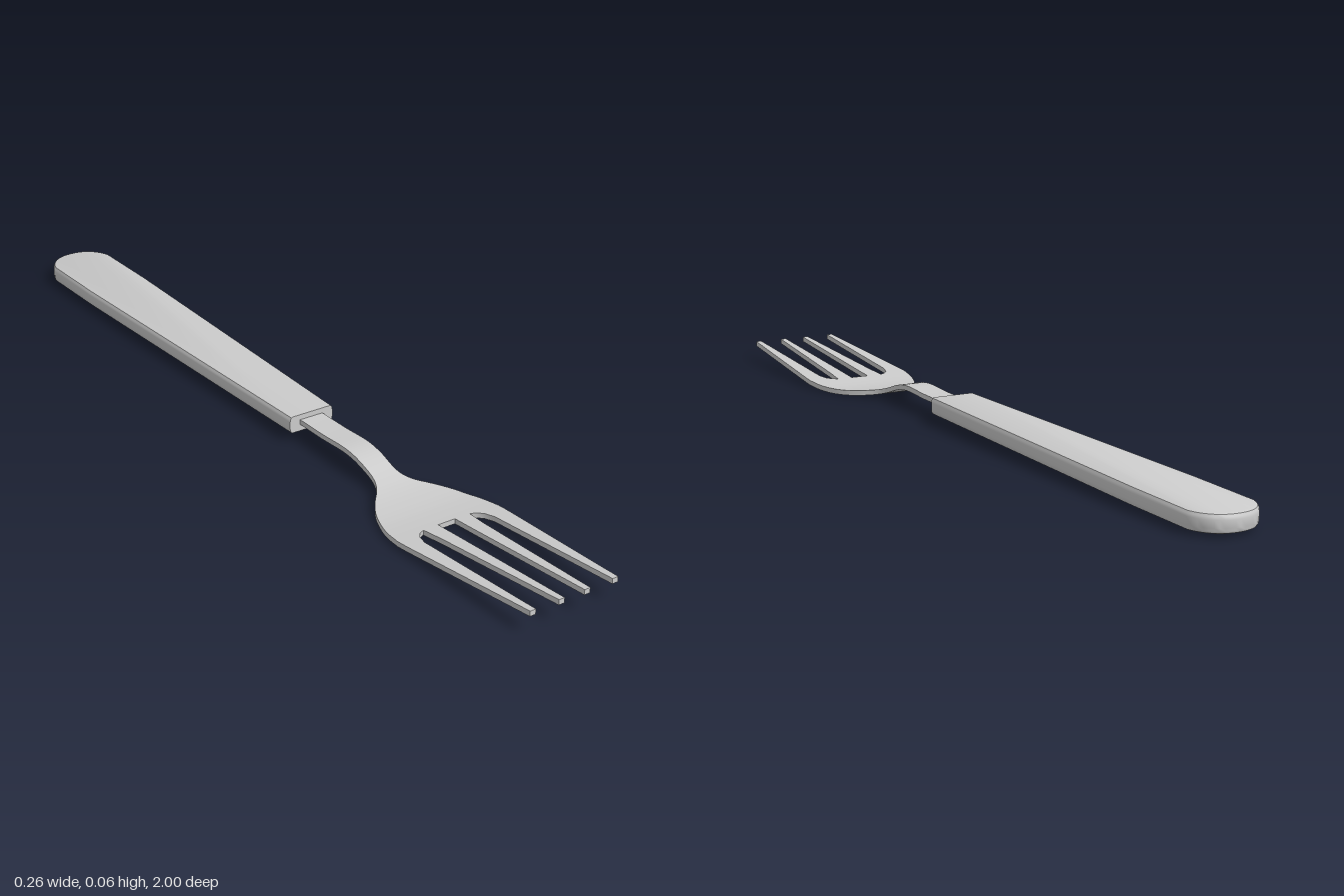
import * as THREE from 'three';
import { toCreasedNormals } from 'three/addons/utils/BufferGeometryUtils.js';

const steel = new THREE.MeshStandardMaterial({ color: 0xcccccc });
const THICK = 0.012;

// Lofts a flat bar through sections [z, xMin, xMax, yBottom] ordered by rising z
function bar(name, sections) {
  const pos = [], index = [];
  for (const [z, x0, x1, y] of sections) {
    pos.push(x0, y, z, x1, y, z, x1, y + THICK, z, x0, y + THICK, z);
  }
  const last = (sections.length - 1) * 4;
  for (let i = 0; i < last; i += 4) {
    for (let k = 0; k < 4; k++) {
      const a = i + k, b = i + (k + 1) % 4;
      index.push(a, b, b + 4, a, b + 4, a + 4);
    }
  }
  index.push(0, 2, 1, 0, 3, 2, last, last + 1, last + 2, last, last + 2, last + 3);
  const geometry = new THREE.BufferGeometry();
  geometry.setAttribute('position', new THREE.Float32BufferAttribute(pos, 3));
  geometry.setIndex(index);
  const mesh = new THREE.Mesh(toCreasedNormals(geometry, 0.6), steel);
  mesh.name = name;
  return mesh;
}

// Tapered grip with a rounded butt and bevelled sides, sloping down to the back
function makeHandle() {
  const bevel = 0.007, front = 0.115;
  const shape = new THREE.Shape();
  shape.moveTo(-0.05, front);
  shape.lineTo(-0.073, -0.75);
  shape.lineTo(-0.073, -0.935);
  shape.bezierCurveTo(-0.062, -0.975, -0.035, -0.993, 0, -0.993);
  shape.bezierCurveTo(0.035, -0.993, 0.062, -0.975, 0.073, -0.935);
  shape.lineTo(0.073, -0.75);
  shape.lineTo(0.05, front);
  shape.closePath();
  const geometry = new THREE.ExtrudeGeometry(shape, {
    depth: 0.016, bevelThickness: 0.012, bevelSize: bevel, bevelSegments: 3, curveSegments: 10,
  });
  geometry.translate(0, 0, -0.008);
  geometry.rotateX(Math.PI / 2);
  const p = geometry.attributes.position;
  for (let i = 0; i < p.count; i++) {
    // flat front face, then the slope
    const z = p.getZ(i) > 0.1 ? front : p.getZ(i);
    p.setZ(i, z);
    p.setY(i, p.getY(i) + 0.041 + (z - front) * 0.0125);
  }
  geometry.deleteAttribute('normal');
  geometry.deleteAttribute('uv');
  const mesh = new THREE.Mesh(toCreasedNormals(geometry, 0.6), steel);
  mesh.name = 'handle';
  return mesh;
}

export function createModel() {
  const fork = new THREE.Group();
  fork.name = 'fork';
  fork.add(makeHandle());

  // Neck and palm: half width, underside height, z
  const spine = new THREE.CatmullRomCurve3([
    [0.03, 0.036, 0.09], [0.03, 0.038, 0.2], [0.03, 0.042, 0.29], [0.03, 0.036, 0.335],
    [0.032, 0.017, 0.395], [0.046, 0.009, 0.425], [0.072, 0.004, 0.455], [0.096, 0.001, 0.49],
    [0.113, 0, 0.53], [0.125, 0.002, 0.57], [0.13, 0.005, 0.605],
  ].map((v) => new THREE.Vector3(...v)));
  fork.add(bar('neckAndPalm', spine.getPoints(50).map((v) => [v.z, -v.x, v.x, v.y])));

  // Tines: z, inner edge, outer edge
  const rise = (z) => 0.005 + (z - 0.605) * 0.089;
  const tines = {
    innerTine: [[0.605, 0.022, 0.06], [0.66, 0.022, 0.055], [1, 0.025, 0.039]],
    outerTine: [[0.605, 0.059, 0.13], [0.612, 0.073, 0.131], [0.625, 0.084, 0.131],
      [0.65, 0.091, 0.13], [1, 0.096, 0.11]],
  };
  for (const [name, rows] of Object.entries(tines)) {
    fork.add(bar(name + 'Left', rows.map(([z, a, b]) => [z, a, b, rise(z)])));
    fork.add(bar(name + 'Right', rows.map(([z, a, b]) => [z, -b, -a, rise(z)])));
  }
  return fork;
}
